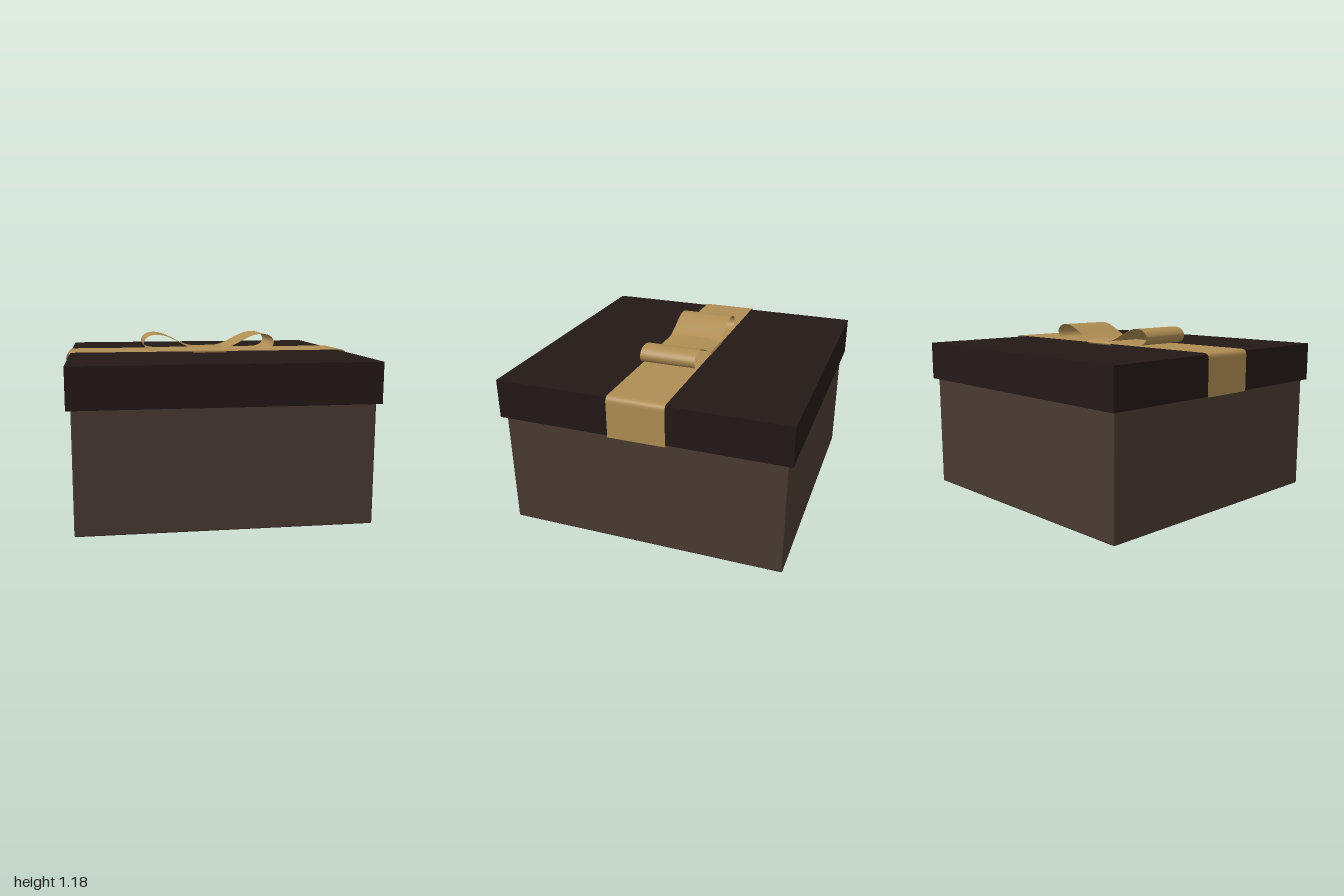
import * as THREE from 'three';
import { RoundedBoxGeometry } from 'three/addons/geometries/RoundedBoxGeometry.js';

const brown = new THREE.MeshStandardMaterial({ color: 0x4a3b31 });
const dark = new THREE.MeshStandardMaterial({ color: 0x231917 });
const gold = new THREE.MeshStandardMaterial({ color: 0xb08e54, side: THREE.DoubleSide });

function part(name, geometry, material, y = 0) {
  const mesh = new THREE.Mesh(geometry, material);
  mesh.name = name;
  mesh.position.y = y;
  return mesh;
}

// Thin band: a curve in the x-y plane swept to a constant width along z
function band(curve, width, segments) {
  const geometry = new THREE.PlaneGeometry(1, width, segments, 1);
  const pos = geometry.attributes.position;
  for (let i = 0; i < pos.count; i++) {
    const p = curve.getPoint(THREE.MathUtils.clamp(pos.getX(i) + 0.5, 0, 1));
    pos.setXYZ(i, p.x, p.y, -pos.getY(i));
  }
  geometry.computeVertexNormals();
  return geometry;
}

const spline = (points) =>
  new THREE.CatmullRomCurve3(points.map(([x, y]) => new THREE.Vector3(x, y, 0)));

function square(half, PathType) {
  return new PathType([[-1, -1], [1, -1], [1, 1], [-1, 1]]
    .map(([x, y]) => new THREE.Vector2(x * half, y * half)));
}

export function createModel() {
  const model = new THREE.Group();
  model.name = 'giftBox';

  // Box with slightly softened edges
  model.add(part('boxBody', new RoundedBoxGeometry(1.896, 1.03, 1.896, 2, 0.01), brown, 0.515));

  // Lid: a top panel over a hollow skirt
  const lid = new THREE.Group();
  lid.name = 'lid';
  const frame = square(0.977, THREE.Shape);
  frame.holes.push(square(0.962, THREE.Path));
  const skirt = new THREE.ExtrudeGeometry(frame, { depth: 0.25, bevelEnabled: false });
  skirt.rotateX(-Math.PI / 2);
  lid.add(part('lidSkirt', skirt, dark, 0.787));
  lid.add(part('lidTop', new THREE.BoxGeometry(1.954, 0.015, 1.954), dark, 1.0445));
  model.add(lid);

  // Ribbon draped over the lid with rounded shoulders
  const drape = new THREE.Shape();
  drape.moveTo(-1, 0.787);
  drape.lineTo(-1, 1.025);
  drape.quadraticCurveTo(-1, 1.064, -0.96, 1.064);
  drape.lineTo(0.96, 1.064);
  drape.quadraticCurveTo(1, 1.064, 1, 1.025);
  drape.lineTo(1, 0.787);
  model.add(part('ribbon', band(drape, 0.386, 240), gold));

  // Bow: two mirrored loops and a knot wrapped over their roots
  const bow = new THREE.Group();
  bow.name = 'bow';
  const loop = [
    [0.0, 1.078], [0.1, 1.082], [0.17, 1.105], [0.25, 1.146], [0.32, 1.174], [0.38, 1.182],
    [0.435, 1.168], [0.463, 1.132], [0.452, 1.094], [0.41, 1.073], [0.34, 1.068],
    [0.2, 1.068], [0.0, 1.068],
  ];
  for (const [name, side] of [['leftLoop', 1], ['rightLoop', -1]]) {
    bow.add(part(name, band(spline(loop.map(([x, y]) => [x * side, y])), 0.382, 64), gold));
  }
  const wrap = [
    [-0.185, 1.052], [-0.196, 1.062], [-0.185, 1.076], [-0.12, 1.085], [0, 1.088],
    [0.12, 1.085], [0.185, 1.076], [0.196, 1.062], [0.185, 1.052],
  ];
  const knot = band(spline(wrap), 0.24, 40);
  knot.rotateY(Math.PI / 2);
  bow.add(part('knot', knot, gold));
  model.add(bow);

  return model;
}
